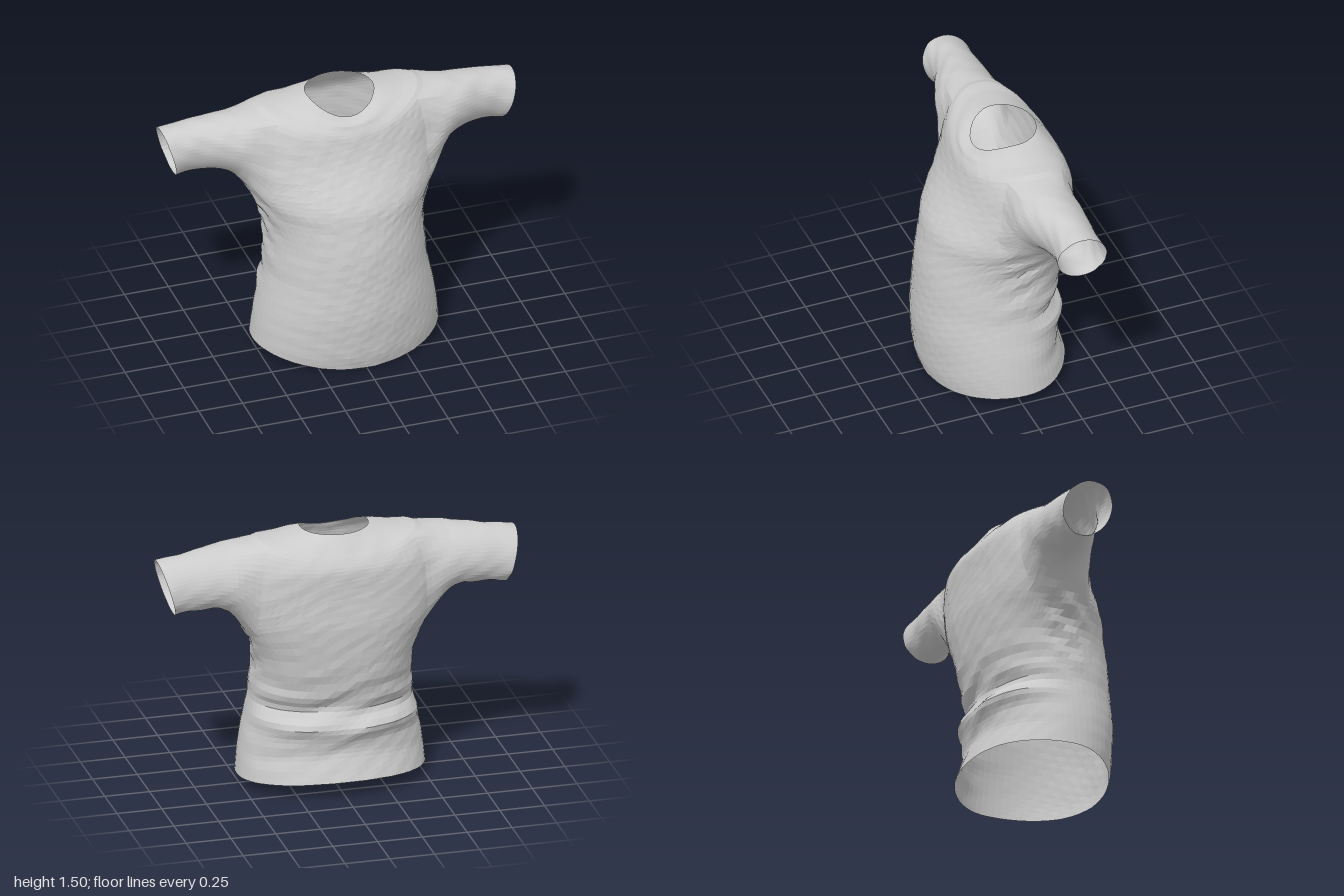
import * as THREE from 'three';

const V = (x, y, z) => new THREE.Vector3(x, y, z);
const N = 64;          // columns round the body
const SUB = 3;         // steps between key sections
const HALF = 7;        // armhole half width in columns
const HOLE = [9 * SUB, 14 * SUB]; // armhole rows

// Body sections: y front, y side, y back, half width, z front, z back, z of the side, back squareness
const SECTIONS = [
  [0.00, 0.065, 0.10, 0.522, 0.37, -0.39, -0.02, 2.1],
  [0.08, 0.14, 0.17, 0.515, 0.39, -0.365, -0.02, 2.1],
  [0.18, 0.21, 0.25, 0.507, 0.40, -0.34, -0.02, 2.1],
  [0.30, 0.31, 0.32, 0.490, 0.41, -0.35, -0.02, 2.1],
  [0.40, 0.40, 0.40, 0.470, 0.41, -0.375, -0.02, 2.2],
  [0.50, 0.50, 0.49, 0.450, 0.405, -0.32, -0.02, 2.2],
  [0.60, 0.60, 0.58, 0.445, 0.40, -0.345, -0.03, 2.3],
  [0.72, 0.72, 0.72, 0.437, 0.39, -0.375, -0.05, 2.4],
  [0.85, 0.84, 0.86, 0.460, 0.365, -0.39, -0.08, 2.5],
  [0.95, 0.93, 1.00, 0.500, 0.345, -0.40, -0.10, 2.6],
  [1.03, 1.00, 1.10, 0.530, 0.305, -0.395, -0.11, 2.7],
  [1.12, 1.10, 1.20, 0.555, 0.25, -0.39, -0.12, 2.7],
  [1.20, 1.22, 1.27, 0.560, 0.21, -0.39, -0.12, 2.6],
  [1.28, 1.35, 1.33, 0.545, 0.185, -0.385, -0.12, 2.5],
  [1.34, 1.463, 1.38, 0.475, 0.17, -0.36, -0.12, 2.4],
  [1.38, 1.476, 1.42, 0.360, 0.15, -0.33, -0.12, 2.3],
  [1.405, 1.488, 1.46, 0.265, 0.135, -0.30, -0.11, 2.1],
  [1.425, 1.50, 1.50, 0.188, 0.083, -0.268, -0.10, 2.0],
];

// Sleeve sections: x top, x bottom, y top, y bottom, z front, z back
const SLEEVE = [
  [0.58, 0.60, 1.455, 1.07, 0.06, -0.315],
  [0.70, 0.67, 1.44, 1.11, 0.025, -0.305],
  [0.80, 0.76, 1.428, 1.115, -0.015, -0.30],
  [0.90, 0.85, 1.415, 1.115, -0.03, -0.295],
  [1.00, 0.92, 1.40, 1.105, -0.02, -0.305],
];

const bump = (v, mid, width) => Math.exp(-(((v - mid) / width) ** 2));

// Cloth folds: slanting creases across the lower back, crumples under the arms
function crease(p) {
  const { x, y, z } = p;
  const back = THREE.MathUtils.smoothstep(-z, -0.1, 0.25) * bump(y, 0.5, 0.2);
  const arm = bump(Math.abs(x), 0.47, 0.08) * bump(y, 0.83, 0.26) * bump(z, -0.05, 0.17);
  const fold = Math.sin(y * 42 + x * 7 + Math.sin(x * 9) * 1.2);
  const crumple = Math.sin(y * 44 + z * 21) + 0.5 * Math.sin(y * 30 - z * 40 + x * 4);
  const fine = 0.0022 * Math.sin(x * 37 + y * 23) * Math.sin(y * 41 - z * 29);
  return V(
    x + Math.sign(x) * (0.008 * arm * crumple + 0.014 * back * fold * Math.abs(x)),
    y + (Math.abs(x) > 0.6 ? fine : 0),
    z - 0.008 * back * fold + 0.006 * arm * crumple + fine,
  );
}

// Joins rows of points into a surface; closed along each row
function surface(name, rows, skip = () => false) {
  const n = rows[0].length, index = [];
  for (let r = 0; r < rows.length - 1; r++) {
    for (let c = 0; c < n; c++) {
      if (skip(r, c)) continue;
      const d = (c + 1) % n;
      const a = r * n + c, b = r * n + d, e = a + n, f = b + n;
      index.push(a, e, b, b, e, f);
    }
  }
  const geo = new THREE.BufferGeometry().setFromPoints(rows.flat().map(crease));
  geo.setIndex(index);
  geo.computeVertexNormals();
  const mat = new THREE.MeshStandardMaterial({
    color: 0xcccccc, flatShading: true, side: THREE.DoubleSide,
  });
  const mesh = new THREE.Mesh(geo, mat);
  mesh.name = name;
  return mesh;
}

// One point of a body section; column 0 is the left side, N/4 the front.
// Columns draw together at the bottom and top of the armhole, which rounds it
function bodyPoint([yf, ys, yb, w, zf, zb, zc, square], c) {
  const even = (c / N) * Math.PI * 2;
  const pinch = 0.22 * bump(ys, 0.94, 0.1) + 0.1 * bump(ys, 1.46, 0.05);
  const t = even - pinch * Math.sin(2 * even), s = Math.sin(t), k = Math.cos(t);
  const e = 2 / (s > 0 ? 2 : square);
  return V(
    w * Math.sign(k) * Math.abs(k) ** e,
    ys + ((s > 0 ? yf : yb) - ys) * s * s,
    zc + (s > 0 ? zf - zc : zb - zc) * Math.abs(s) ** e,
  );
}

function bodyRows() {
  const steps = (SECTIONS.length - 1) * SUB;
  const columns = Array.from({ length: N }, (_, c) => {
    const curve = new THREE.CatmullRomCurve3(SECTIONS.map((s) => bodyPoint(s, c)), false, 'catmullrom');
    return Array.from({ length: steps + 1 }, (_, r) => curve.getPoint(r / steps));
  });
  return Array.from({ length: steps + 1 }, (_, r) => columns.map((col) => col[r]));
}

// Points round the left armhole, each paired with a body point behind it that sets the direction:
// along the bottom, up the front, back over the top, down
function armhole(rows) {
  const [lo, hi] = HOLE, loop = [];
  const at = (r, c) => {
    const behindRow = r === lo ? lo - 2 : r === hi ? hi + 2 : r;
    const behindCol = Math.abs(c) === HALF ? c + Math.sign(c) * 2 : c;
    loop.push([rows[behindRow][(behindCol + N) % N], rows[r][(c + N) % N]]);
  };
  for (let c = -HALF; c < HALF; c++) at(lo, c);
  for (let r = lo; r < hi; r++) at(r, HALF);
  for (let c = HALF; c > -HALF; c--) at(hi, c);
  for (let r = hi; r > lo; r--) at(r, -HALF);
  return loop;
}

// Each armhole point runs out along a smooth curve to the cuff; the sleeve leans back at its bottom
function sleeveRows(loop, side) {
  const steps = 20, start = 1 / (SLEEVE.length + 1);
  const lines = loop.map(([behind, p]) => {
    const a = Math.atan2((p.y - 1.2) / 0.25, (p.z + 0.12) / 0.2);
    const s = Math.sin(a), k = Math.cos(a);
    const pts = SLEEVE.map(([xt, xb, yt, yb, zf, zb]) => V(
      (xt + xb) / 2 + (s * (xt - xb)) / 2,
      (yt + yb) / 2 + (s * (yt - yb)) / 2,
      (zf + zb) / 2 + (k * (zf - zb)) / 2 + 0.02 * s,
    ));
    const curve = new THREE.CatmullRomCurve3([behind, p, ...pts], false, 'centripetal');
    return Array.from({ length: steps + 1 }, (_, i) => curve.getPoint(start + (1 - start) * (i / steps)));
  });
  if (side < 0) lines.reverse();
  return Array.from({ length: steps + 1 }, (_, i) =>
    lines.map((l) => V(l[i].x * side, l[i].y, l[i].z)));
}

export function createModel() {
  const shirt = new THREE.Group();
  shirt.name = 'shirt';
  const rows = bodyRows();

  // Body, open at the hem, the neck and both armholes
  const inHole = (r, c) => {
    const off = ((c + N / 4) % (N / 2)) - N / 4;
    return r >= HOLE[0] && r < HOLE[1] && off >= -HALF && off < HALF;
  };
  shirt.add(surface('body', rows, inHole));

  // Sleeves
  const loop = armhole(rows);
  shirt.add(surface('leftSleeve', sleeveRows(loop, 1)));
  shirt.add(surface('rightSleeve', sleeveRows(loop, -1)));
  return shirt;
}
